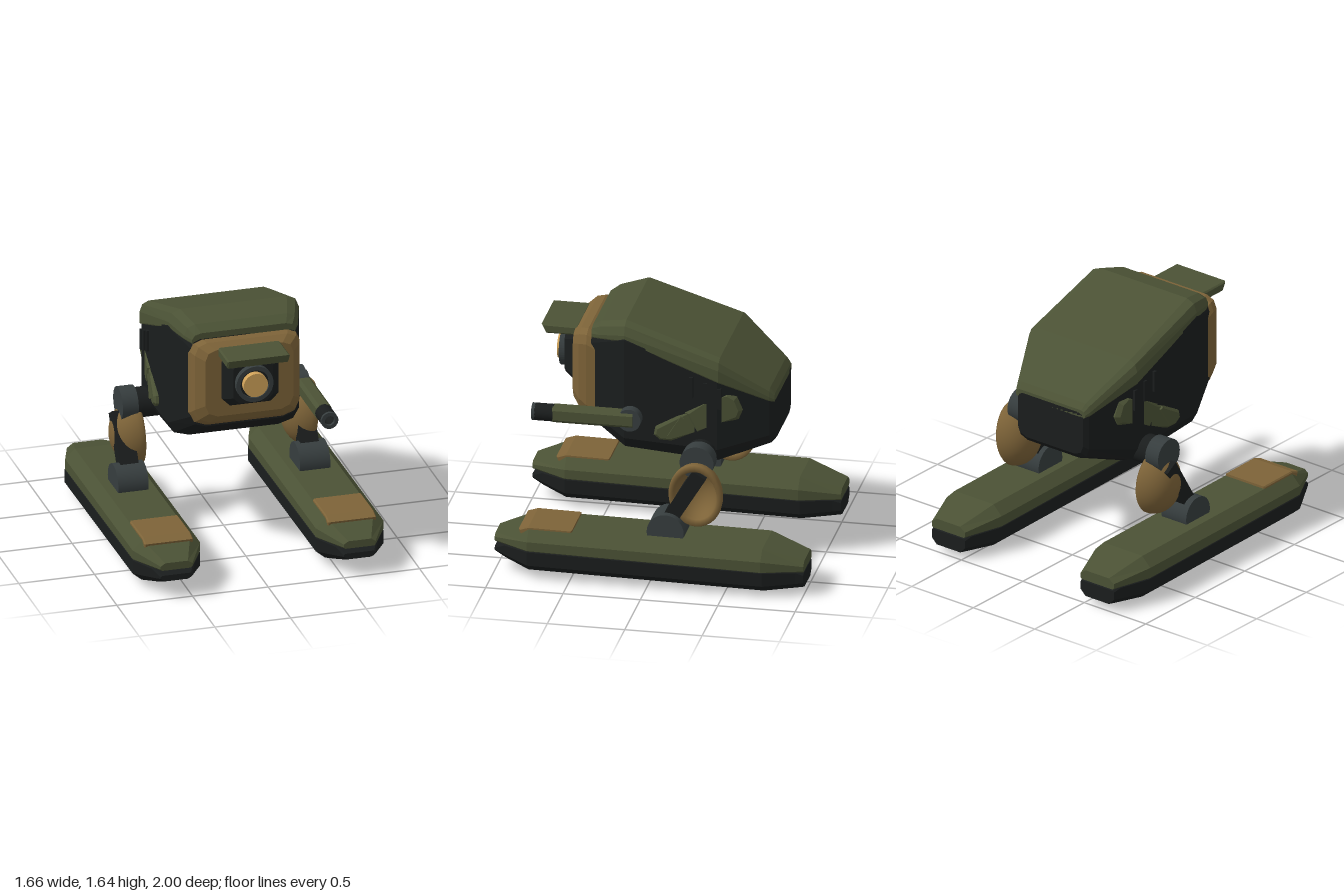
import * as THREE from 'three';

const mat = (color, extra = {}) => new THREE.MeshStandardMaterial({ color, ...extra });
const facet = { flatShading: true };
const GREEN = 0x4b5235, DARK = 0x1a1d1d, TAN = 0x7d6338, GREY = 0x363d3e, GOLD = 0xd0a259;

// Closed cross-section at depth z: a box outline with cut corners (n segments per corner)
function ring(z, w, y0, y1, [bx, by], [tx, ty], n = 1) {
  const pts = [];
  const corners = [
    [w - bx, y0 + by, bx, by, -90], [w - tx, y1 - ty, tx, ty, 0],
    [-w + tx, y1 - ty, tx, ty, 90], [-w + bx, y0 + by, bx, by, 180],
  ];
  for (const [cx, cy, rx, ry, start] of corners)
    for (let i = 0; i <= n; i++) {
      const a = THREE.MathUtils.degToRad(start + (90 * i) / n);
      pts.push([cx + rx * Math.cos(a), cy + ry * Math.sin(a), z]);
    }
  return pts;
}

// Skin through rings listed from front to back, with both ends capped
function loft(rings) {
  const pos = [];
  const n = rings[0].length;
  const tri = (...p) => p.forEach((v) => pos.push(...v));
  for (let k = 0; k < rings.length - 1; k++)
    for (let i = 0; i < n; i++) {
      const j = (i + 1) % n;
      const a = rings[k][i], b = rings[k][j], c = rings[k + 1][j], d = rings[k + 1][i];
      tri(a, d, b);
      tri(b, d, c);
    }
  const last = rings[rings.length - 1];
  for (let i = 1; i < n - 1; i++) {
    tri(rings[0][0], rings[0][i], rings[0][i + 1]);
    tri(last[0], last[i + 1], last[i]);
  }
  const g = new THREE.BufferGeometry();
  g.setAttribute('position', new THREE.Float32BufferAttribute(pos, 3));
  g.computeVertexNormals();
  return g;
}

// Side outline given as [z, y], extruded along x and centred on x = 0
function sidePlate(outline, width, bevel) {
  const shape = new THREE.Shape(outline.map(([z, y]) => new THREE.Vector2(-z, y)));
  const depth = width - 2 * bevel;
  const g = new THREE.ExtrudeGeometry(shape, {
    depth, bevelEnabled: bevel > 0, bevelThickness: bevel, bevelSize: bevel, bevelOffset: -bevel, bevelSegments: 1,
  });
  return g.translate(0, 0, -depth / 2).rotateY(Math.PI / 2);
}

function add(parent, name, geometry, material, x = 0, y = 0, z = 0) {
  const m = new THREE.Mesh(geometry, material);
  m.name = name;
  m.position.set(x, y, z);
  parent.add(m);
  return m;
}

const cylX = (r, len) => new THREE.CylinderGeometry(r, r, len, 32).rotateZ(Math.PI / 2);
const cylZ = (r, len) => new THREE.CylinderGeometry(r, r, len, 32).rotateX(Math.PI / 2);
function tubeZ(outer, inner, len) {
  const s = new THREE.Shape().absarc(0, 0, outer, 0, Math.PI * 2);
  s.holes.push(new THREE.Path().absarc(0, 0, inner, 0, Math.PI * 2, true));
  return new THREE.ExtrudeGeometry(s, { depth: len, bevelEnabled: false, curveSegments: 24 });
}

function buildBody() {
  const body = new THREE.Group();
  body.name = 'body';
  add(body, 'hull', loft([
    ring(0.45, 0.35, 0.91, 1.52, [0.1, 0.08], [0.06, 0.06], 2),
    ring(0.22, 0.435, 0.76, 1.59, [0.14, 0.1], [0.06, 0.06], 2),
    ring(-0.38, 0.43, 0.705, 1.39, [0.15, 0.12], [0.06, 0.06], 2),
    ring(-0.69, 0.29, 0.815, 1.19, [0.08, 0.08], [0.05, 0.05], 2),
    ring(-0.72, 0.265, 0.85, 1.15, [0.07, 0.07], [0.04, 0.04], 2),
  ]), mat(DARK, facet));
  add(body, 'topShell', loft([
    ring(0.45, 0.34, 1.49, 1.56, [0.01, 0.01], [0.06, 0.04], 2),
    ring(0.39, 0.375, 1.5, 1.6, [0.01, 0.01], [0.07, 0.07], 2),
    ring(0.22, 0.432, 1.515, 1.64, [0.01, 0.01], [0.08, 0.08], 2),
    ring(-0.39, 0.44, 1.285, 1.44, [0.01, 0.01], [0.06, 0.07], 2),
    ring(-0.69, 0.3, 1.13, 1.21, [0.01, 0.01], [0.04, 0.05], 2),
    ring(-0.72, 0.28, 1.12, 1.17, [0.01, 0.01], [0.03, 0.03], 2),
  ]), mat(GREEN, facet));

  // Face frame, eye and visor
  add(body, 'faceFrame', loft([
    ring(0.58, 0.29, 1.03, 1.49, [0.08, 0.08], [0.07, 0.07], 2),
    ring(0.53, 0.345, 0.97, 1.525, [0.1, 0.1], [0.08, 0.08], 2),
    ring(0.48, 0.36, 0.935, 1.53, [0.11, 0.1], [0.08, 0.08], 2),
    ring(0.42, 0.36, 0.91, 1.5, [0.11, 0.1], [0.08, 0.08], 2),
  ]), mat(TAN, facet));
  add(body, 'eyeHousing', loft([
    ring(0.665, 0.13, 1.14, 1.42, [0.04, 0.04], [0.04, 0.04]),
    ring(0.6, 0.185, 1.105, 1.455, [0.05, 0.05], [0.05, 0.05]),
    ring(0.56, 0.185, 1.105, 1.455, [0.05, 0.05], [0.05, 0.05]),
  ]), mat(DARK, facet));
  add(body, 'eyeRing', tubeZ(0.122, 0.095, 0.045), mat(GREY), 0, 1.28, 0.66);
  add(body, 'eyeSocket', cylZ(0.096, 0.03), mat(DARK), 0, 1.28, 0.67);
  add(body, 'eyeLens', cylZ(0.08, 0.07), mat(GOLD), 0, 1.28, 0.69);
  add(body, 'visor', sidePlate(
    [[0.8, 1.5], [0.57, 1.5], [0.54, 1.475], [0.55, 1.44], [0.77, 1.44]], 0.41, 0.01), mat(GREEN, facet));

  // Side fairings and vent slats
  for (const s of [1, -1]) {
    const fairing = new THREE.Group();
    fairing.name = 'sideFairing';
    fairing.position.set(s * 0.4, 0, -0.1);
    fairing.rotation.y = s * 0.14;
    add(fairing, 'fairingRear', sidePlate(
      [[-0.06, 1.07], [-0.24, 1.2], [-0.34, 1.215], [-0.4, 1.18], [-0.435, 1.09], [-0.41, 1.03], [-0.14, 0.92]],
      0.12, 0.025), mat(GREEN, facet));
    add(fairing, 'fairingFront', sidePlate(
      [[0.12, 0.96], [-0.1, 1.085], [-0.18, 0.94], [0.02, 0.87], [0.09, 0.875], [0.13, 0.91]],
      0.1, 0.015), mat(GREEN, facet));
    const band = add(fairing, 'fairingBand', new THREE.BoxGeometry(0.13, 0.16, 0.025), mat(GREEN, facet), 0, 0.97, -0.01);
    band.rotation.x = -0.55;
    body.add(fairing);
    for (let i = 0; i < 3; i++)
      add(body, 'ventSlat', new THREE.BoxGeometry(0.05, 0.14, 0.025), mat(DARK, facet),
        s * (0.425 - 0.008 * i), 1.245 - 0.035 * i, -0.215 - 0.09 * i);
  }
  return body;
}

function buildGun() {
  const gun = new THREE.Group();
  gun.name = 'sideGun';
  gun.position.set(0.465, 1.01, 0);
  add(gun, 'gunPivot', cylX(0.075, 0.09), mat(GREY), -0.01, 0, 0.175);
  add(gun, 'gunBarrel', loft([0.67, 0.15].map((z) =>
    ring(z, 0.05, -0.052, 0.052, [0.02, 0.02], [0.02, 0.02]))), mat(GREEN, facet));
  add(gun, 'gunSleeve', tubeZ(0.056, 0.032, 0.12), mat(DARK), 0, 0, 0.665);
  add(gun, 'gunMuzzle', tubeZ(0.056, 0.032, 0.022), mat(GREY), 0, 0, 0.782);
  return gun;
}

function buildLeg(s) {
  const leg = new THREE.Group();
  leg.name = s > 0 ? 'leftLeg' : 'rightLeg';
  add(leg, 'hipAxle', cylX(0.098, 0.32), mat(DARK), s * 0.36, 0.795, -0.28);
  add(leg, 'hipDisc', cylX(0.11, 0.105), mat(GREY), s * 0.56, 0.8, -0.285);
  const strut = add(leg, 'strut', new THREE.BoxGeometry(0.12, 0.42, 0.1), mat(DARK, facet), s * 0.595, 0.555, -0.2);
  strut.rotation.x = -0.55;
  add(leg, 'ankle', cylX(0.12, 0.2), mat(GREY), s * 0.6, 0.345, -0.1);

  // Hollow bowl guard; both legs carry it the same way round, open toward +x
  const profile = [];
  for (let i = 0; i <= 10; i++) {
    const a = (i / 10) * Math.PI / 2;
    profile.push(new THREE.Vector2(Math.sin(a), -Math.cos(a)));
  }
  profile.push(new THREE.Vector2(0.95, 0.08), new THREE.Vector2(0.82, 0.06));
  for (let i = 10; i >= 0; i--) {
    const a = (i / 10) * Math.PI / 2;
    profile.push(new THREE.Vector2(0.78 * Math.sin(a), -0.85 * Math.cos(a)));
  }
  const bowl = new THREE.LatheGeometry(profile, 32).rotateZ(-Math.PI / 2).scale(0.18, 0.22, 0.175);
  const guard = add(leg, 'legGuard', bowl, mat(TAN, { side: THREE.DoubleSide }), s > 0 ? 0.645 : -0.49, 0.59, -0.285);
  guard.rotation.z = s > 0 ? -0.1 : 0.04;
  return leg;
}

function buildFloat(s) {
  const ski = new THREE.Group();
  ski.name = s > 0 ? 'leftFloat' : 'rightFloat';
  ski.position.x = s * 0.605;
  add(ski, 'floatTop', loft([
    ring(1, 0.105, 0.2, 0.25, [0.01, 0.01], [0.03, 0.02]),
    ring(0.77, 0.223, 0.19, 0.325, [0.01, 0.01], [0.065, 0.065]),
    ring(-0.74, 0.223, 0.165, 0.31, [0.01, 0.01], [0.065, 0.065]),
    ring(-1, 0.135, 0.16, 0.23, [0.01, 0.01], [0.04, 0.03]),
  ]), mat(GREEN, facet));
  add(ski, 'floatBottom', loft([
    ring(1, 0.105, 0.125, 0.165, [0.03, 0.02], [0.01, 0.01]),
    ring(0.93, 0.14, 0.1, 0.2, [0.03, 0.03], [0.01, 0.01]),
    ring(0.77, 0.223, 0.05, 0.2, [0.06, 0.05], [0.01, 0.01]),
    ring(-0.75, 0.223, 0.03, 0.178, [0.06, 0.05], [0.01, 0.01]),
    ring(-0.95, 0.15, 0.046, 0.17, [0.04, 0.04], [0.01, 0.01]),
    ring(-1, 0.135, 0.05, 0.15, [0.04, 0.04], [0.01, 0.01]),
  ]), mat(DARK, facet));
  add(ski, 'keel', loft([
    ring(0.61, 0.055, 0.012, 0.07, [0.015, 0.01], [0.005, 0.005]),
    ring(-0.65, 0.055, 0.012, 0.06, [0.015, 0.01], [0.005, 0.005]),
  ]), mat(DARK, facet));
  add(ski, 'keelStrip', new THREE.BoxGeometry(0.06, 0.02, 1.2), mat(TAN, facet), 0, 0.01, 0);
  add(ski, 'deckPlate', sidePlate(
    [[0.49, 0.29], [0.49, 0.338], [0.77, 0.342], [0.835, 0.32], [0.82, 0.28]], 0.32, 0.008), mat(TAN, facet));
  return ski;
}

export function createModel() {
  const model = new THREE.Group();
  model.name = 'walker';
  model.add(buildBody(), buildGun());
  for (const s of [1, -1]) model.add(buildLeg(s), buildFloat(s));
  return model;
}
